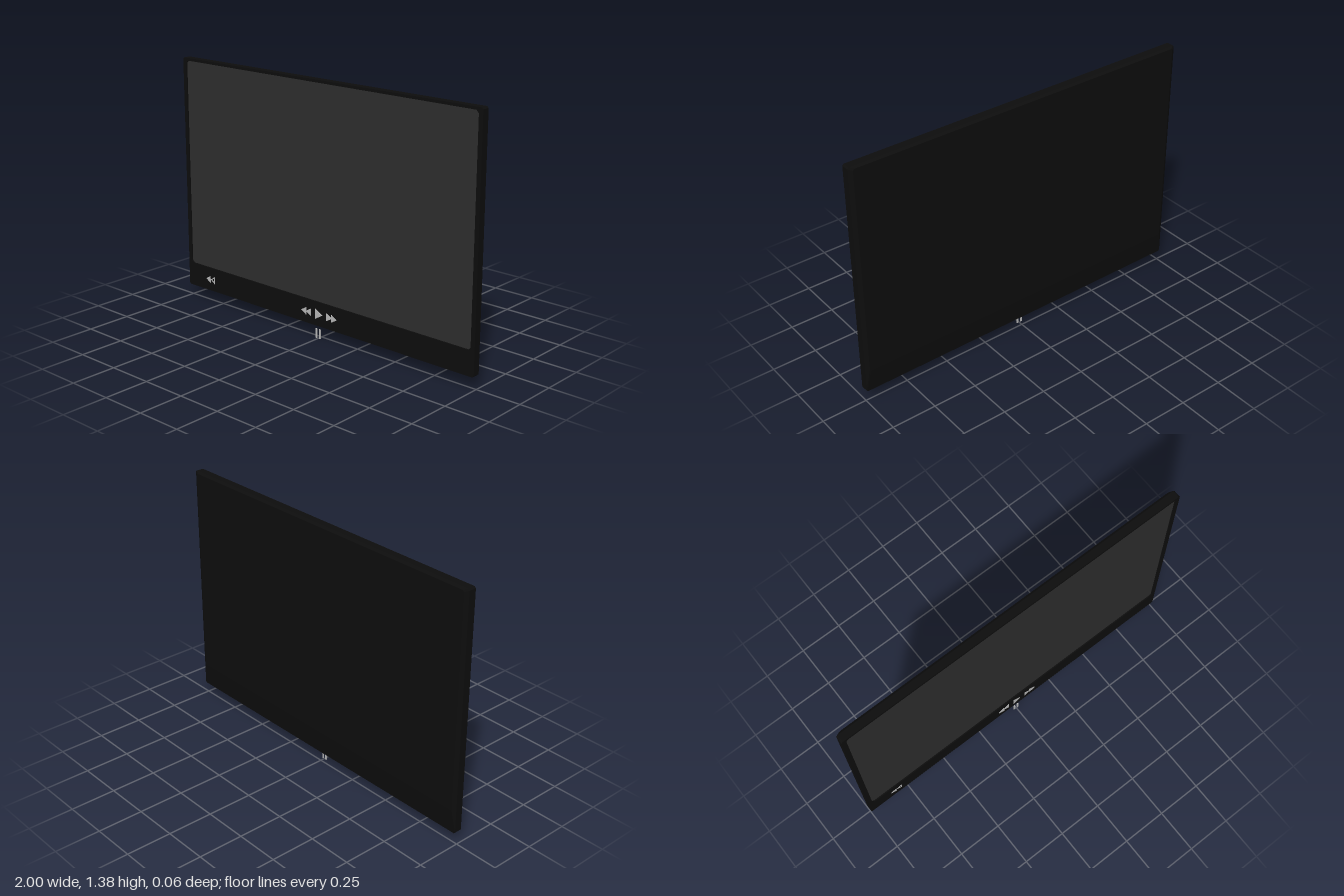
import * as THREE from 'three';

const black = new THREE.MeshStandardMaterial({ color: 0x0d0d0d });
black.name = 'casingBlack';
const darkGrey = new THREE.MeshStandardMaterial({ color: 0x2e2e2e });
darkGrey.name = 'screenGrey';
const lightGrey = new THREE.MeshStandardMaterial({ color: 0xb8b8b8 });
lightGrey.name = 'iconGrey';

const FRONT = 0.025, MID = -0.016, BACK = -0.028;

// Rectangle with clipped corners, counter-clockwise
function outline(x, y0, y1, c) {
  return [
    [x - c, y0], [x, y0 + c], [x, y1 - c], [x - c, y1],
    [-x + c, y1], [-x, y1 - c], [-x, y0 + c], [-x + c, y0],
  ].map(([a, b]) => new THREE.Vector2(a, b));
}

function plate(points, z0, z1, holes = []) {
  const shape = new THREE.Shape(points);
  for (const h of holes) shape.holes.push(new THREE.Path(h));
  const geo = new THREE.ExtrudeGeometry(shape, { depth: z1 - z0, bevelEnabled: false });
  return geo.translate(0, 0, z0);
}

// Back shell: chamfered sides and top, long slope along the bottom
function backShell(edge, rear) {
  const pos = [];
  const n = edge.length;
  const push = (p, z) => pos.push(p.x, p.y, z);
  for (let i = 0; i < n; i++) {
    const j = (i + 1) % n;
    push(edge[i], MID); push(rear[i], BACK); push(rear[j], BACK);
    push(edge[i], MID); push(rear[j], BACK); push(edge[j], MID);
    if (i > 0 && i < n - 1) {
      push(rear[0], BACK); push(rear[i + 1], BACK); push(rear[i], BACK);
    }
  }
  const geo = new THREE.BufferGeometry();
  geo.setAttribute('position', new THREE.Float32BufferAttribute(pos, 3));
  geo.computeVertexNormals();
  return geo;
}

// Triangle pointing along dir, base centred on x
const triangle = (x, y, dir, w, h) => {
  const pts = [[x, y - h], [x + dir * w, y], [x, y + h]].map(([a, b]) => new THREE.Vector2(a, b));
  return dir > 0 ? pts : pts.reverse();
};

export function createModel() {
  const model = new THREE.Group();
  const add = (name, geo, mat, parent = model) => {
    const mesh = new THREE.Mesh(geo, mat);
    mesh.name = name;
    parent.add(mesh);
    return mesh;
  };
  const group = (name) => {
    const g = new THREE.Group();
    g.name = name;
    model.add(g);
    return g;
  };

  // Casing
  const edge = outline(1, 0.068, 1.385, 0.008);
  const opening = outline(0.976, 0.203, 1.37, 0.014);
  add('frame', plate(edge, MID, FRONT, [opening]), black);
  add('backShell', backShell(edge, outline(0.978, 0.2, 1.375, 0.008)), black);

  // Slightly recessed screen
  add('screen', plate(outline(0.98, 0.199, 1.374, 0.014), 0.01, 0.018), darkGrey);

  // Playback symbols
  const y = 0.134, top = 0.029;
  const rewind = group('rewindSymbol');
  const forward = group('forwardSymbol');
  for (const k of [0, 1]) {
    add('rewindArrow', plate(triangle(-0.052 - k * 0.034, y, -1, 0.036, 0.021), FRONT - 0.002, top), lightGrey, rewind);
    add('forwardArrow', plate(triangle(0.058 + k * 0.034, y, 1, 0.036, 0.021), FRONT - 0.002, top), lightGrey, forward);
  }
  add('playSymbol', plate(triangle(-0.02, y, 1, 0.047, 0.028), FRONT - 0.002, top), lightGrey);

  // Volume symbol: speaker and outlined wave
  const volume = group('volumeSymbol');
  add('speaker', plate(triangle(-0.825, y, -1, 0.035, 0.021), FRONT - 0.002, FRONT + 0.002), lightGrey, volume);
  add('soundWave', plate(triangle(-0.79, y, -1, 0.033, 0.022), FRONT - 0.002, FRONT + 0.002,
    [triangle(-0.797, y, -1, 0.016, 0.011)]), lightGrey, volume);

  // Pause bars below the casing
  const pause = group('pauseSymbol');
  for (const x of [-0.013, 0.01]) {
    const bar = add('pauseBar', new THREE.BoxGeometry(0.009, 0.053, 0.006), lightGrey, pause);
    bar.position.set(x, 0.0265, 0.026);
  }

  return model;
}
